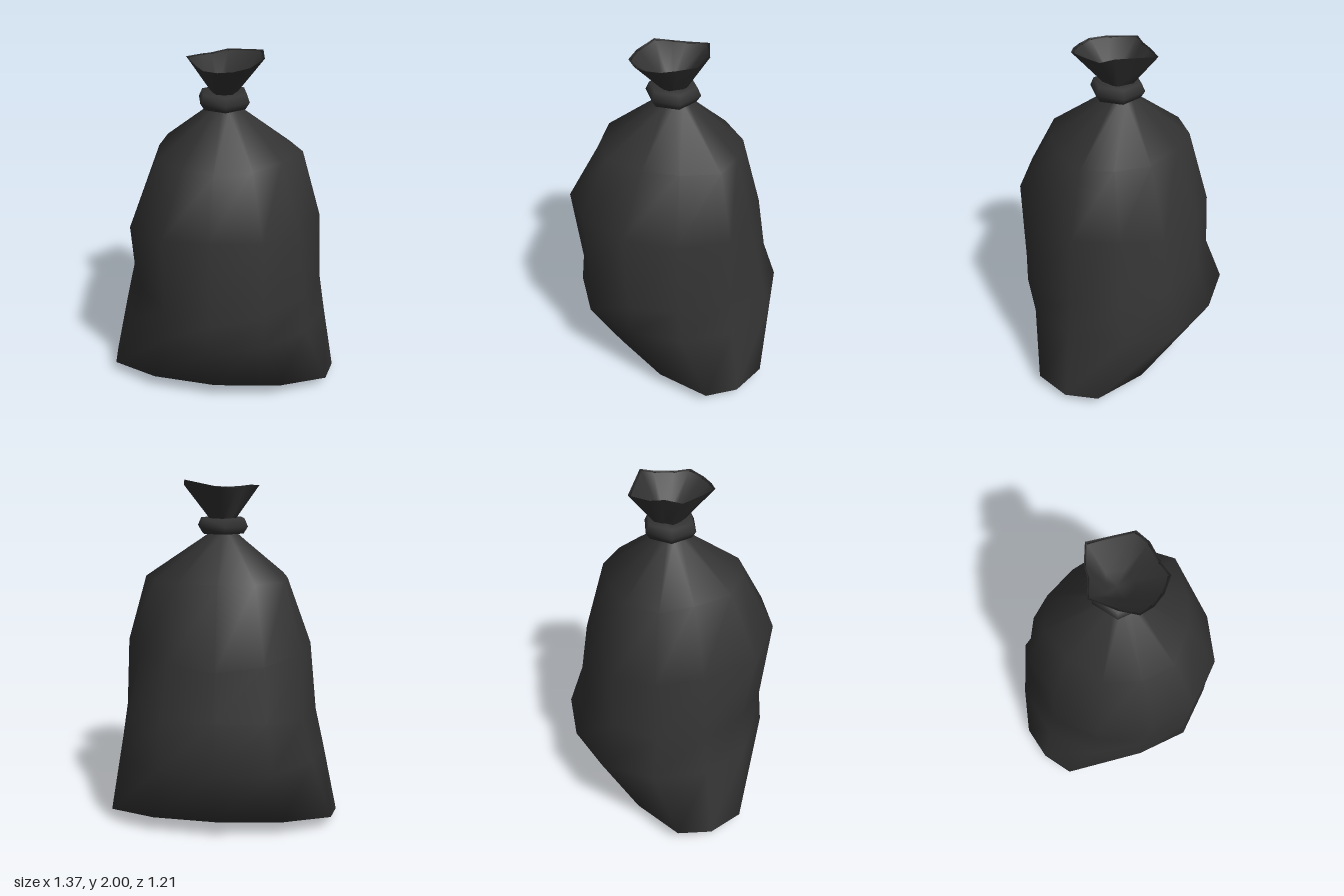
import * as THREE from 'three';
import { mergeVertices } from 'three/addons/utils/BufferGeometryUtils.js';

const SIDES = 12;

// Skin a stack of closed cross-sections (bottom to top) with smooth normals
function loft(rings) {
  const n = rings[0].length;
  const index = [];
  for (let i = 0; i < rings.length - 1; i++) {
    for (let j = 0; j < n; j++) {
      const a = i * n + j, b = i * n + (j + 1) % n;
      index.push(a, a + n, b, b, a + n, b + n);
    }
  }
  const geo = new THREE.BufferGeometry();
  geo.setAttribute('position', new THREE.Float32BufferAttribute(rings.flat(2), 3));
  geo.setIndex(index);
  const merged = mergeVertices(geo, 1e-4);
  merged.computeVertexNormals();
  return merged;
}

const around = (fn) => Array.from({ length: SIDES }, (_, j) => {
  const t = (j / SIDES) * Math.PI * 2;
  return fn(Math.cos(t), Math.sin(t));
});

// Half width of the bottom edge, with blunt corners
const HALF = 0.687;
const wide = (c) => Math.sign(c) * Math.min(0.75 * Math.abs(c), HALF);

// Lopsided oval section: tilt raises the front, bulgeBack swells the back right
// corner and bulgeFront the front right one, each shrinking the opposite corner
function oval({ y, left, right, front, back, tilt = 0, bulgeBack = 0, bulgeFront = 0 }) {
  return around((c, s) => {
    const diagonal = Math.SQRT2 * Math.abs(c * s);
    const sideways = 1.3 * Math.abs(c);
    const k = 1 + diagonal * (bulgeFront * sideways * (s - c) - bulgeBack * (s + c));
    return [c * k * (c > 0 ? left : right), y + tilt * s ** 3, s * k * (s > 0 ? front : back)];
  });
}

function bodyGeometry() {
  // Flat seam underneath, then the pillow-like bottom edge with two wide corners
  const seam = around((c) => [wide(c), 0.04 * (wide(c) / HALF) ** 2, 0]);
  const edge = around((c, s) => [wide(c), 0.04 + 0.06 * Math.abs(s), 0.4 * s]);
  return loft([
    seam,
    edge,
    oval({ y: 0.45, left: 0.615, right: 0.6, front: 0.595, back: 0.6, bulgeBack: 0.045, bulgeFront: -0.05 }),
    oval({ y: 0.67, left: 0.58, right: 0.55, front: 0.58, back: 0.51, tilt: -0.05, bulgeBack: 0.01, bulgeFront: -0.05 }),
    oval({ y: 1.07, left: 0.56, right: 0.51, front: 0.605, back: 0.5, tilt: 0.07, bulgeBack: 0.04, bulgeFront: 0.09 }),
    oval({ y: 1.45, left: 0.45, right: 0.37, front: 0.435, back: 0.35, bulgeBack: 0.13, bulgeFront: 0.03 }),
    oval({ y: 1.7, left: 0.08, right: 0.08, front: 0.09, back: 0.07 }),
    oval({ y: 1.78, left: 0.07, right: 0.07, front: 0.07, back: 0.06 }),
  ]);
}

function mouthGeometry() {
  // Uneven rim of the gathered opening
  const rim = [
    [0.225, 1.97, 0.0], [0.19, 1.965, 0.11], [0.17, 1.97, 0.2], [0.08, 1.955, 0.24],
    [0.0, 1.95, 0.25], [-0.08, 1.955, 0.235], [-0.14, 1.965, 0.15], [-0.205, 1.97, 0.0],
    [-0.13, 1.97, -0.07], [-0.09, 1.96, -0.14], [0.0, 1.965, -0.225], [0.21, 2.0, -0.08],
  ];
  const scaled = (k, mix, base) =>
    rim.map(([x, y, z]) => [x * k, base + (y - base) * mix, z * k]);
  return loft([
    scaled(0.3, 0, 1.75),
    scaled(0.36, 0, 1.785),
    rim,
    scaled(0.93, 0.96, 1.78),
    scaled(0.36, 0, 1.81),
    scaled(0, 0, 1.79),
  ]);
}

export function createModel() {
  const plastic = new THREE.MeshStandardMaterial({ color: 0x333333, side: THREE.DoubleSide });
  const group = new THREE.Group();
  group.name = 'tiedBag';
  const add = (name, geometry) => {
    const mesh = new THREE.Mesh(geometry, plastic);
    mesh.name = name;
    group.add(mesh);
    return mesh;
  };

  add('bagBody', bodyGeometry());
  add('gatheredMouth', mouthGeometry());

  // Six-sided tie around the neck
  const profile = [[0.06, 1.7], [0.13, 1.7], [0.156, 1.74], [0.135, 1.785], [0.06, 1.785]]
    .map(([r, y]) => new THREE.Vector2(r, y));
  const tie = add('neckTie', new THREE.LatheGeometry(profile, 6));
  tie.position.set(0.005, 0, 0.013);
  tie.rotation.y = 0.2;

  return group;
}
